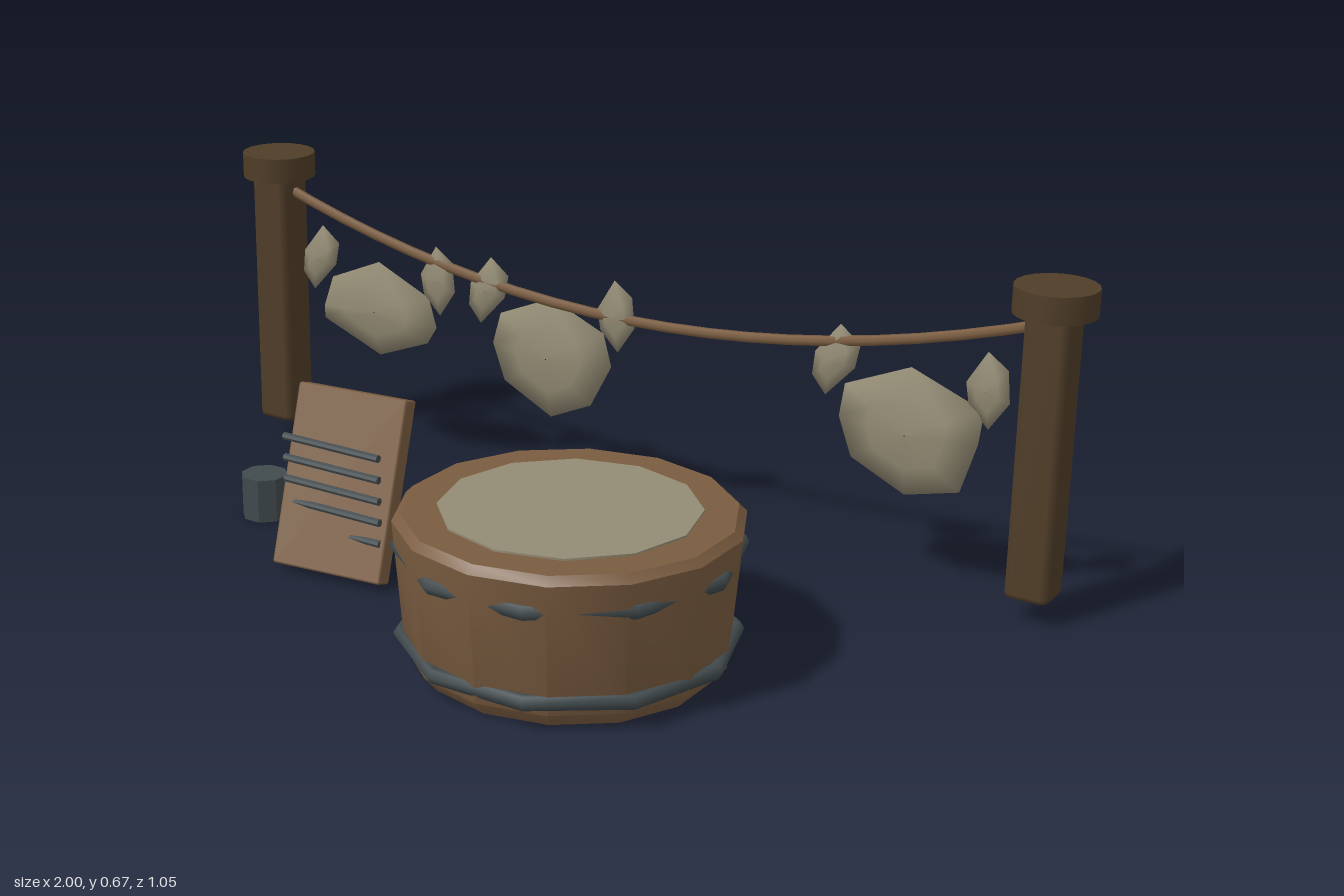
import * as THREE from 'three';
import { toCreasedNormals } from 'three/addons/utils/BufferGeometryUtils.js';
import { RoundedBoxGeometry } from 'three/addons/geometries/RoundedBoxGeometry.js';

const mat = (name, color) => new THREE.MeshStandardMaterial({ name, color });

export function createModel() {
  const wood = mat('wood', 0x7a5c40);
  const darkWood = mat('dark wood', 0x4f3d28);
  const cloth = mat('cloth', 0x938b74);
  const iron = mat('iron', 0x414a4d);

  const model = new THREE.Group();
  model.name = 'laundryYard';

  const add = (name, geometry, material, x = 0, y = 0, z = 0, parent = model) => {
    const mesh = new THREE.Mesh(geometry, material);
    mesh.name = name;
    mesh.position.set(x, y, z);
    parent.add(mesh);
    return mesh;
  };
  const crease = (g, angle = 0.6) => toCreasedNormals(g, angle);
  const lineZ = -0.45;

  // Posts with round caps
  for (const side of [-1, 1]) {
    const name = side < 0 ? 'right' : 'left';
    add(name + 'Post', new RoundedBoxGeometry(0.09, 0.59, 0.09, 1, 0.014), darkWood, side * 0.92, 0.342, lineZ);
    add(name + 'PostCap', crease(new THREE.CylinderGeometry(0.08, 0.08, 0.054, 20)), darkWood, side * 0.92, 0.645, lineZ);
  }

  // Sagging clothesline
  const sag = new THREE.QuadraticBezierCurve3(
    new THREE.Vector3(-0.92, 0.6, lineZ),
    new THREE.Vector3(0, 0.28, lineZ),
    new THREE.Vector3(0.92, 0.6, lineZ)
  );
  add('clothesline', new THREE.TubeGeometry(sag, 20, 0.011, 6), wood);

  // Thin lens from a clockwise outline, thickest in the middle
  const lens = (outline, depth) => {
    const n = outline.length;
    const cx = outline.reduce((s, p) => s + p[0], 0) / n;
    const cy = outline.reduce((s, p) => s + p[1], 0) / n;
    const pos = [];
    const index = [];
    const ring = (scale, z) => outline.forEach(([x, y]) =>
      pos.push(cx + (x - cx) * scale, cy + (y - cy) * scale, z));
    ring(0.01, depth);
    ring(0.55, depth * 0.8);
    ring(1, 0);
    ring(0.55, -depth * 0.8);
    ring(0.01, -depth);
    for (let r = 0; r < 4; r++) {
      for (let i = 0; i < n; i++) {
        const j = (i + 1) % n;
        const a = r * n + i, b = r * n + j, c = a + n, d = b + n;
        index.push(a, b, d, a, d, c);
      }
    }
    const g = new THREE.BufferGeometry();
    g.setAttribute('position', new THREE.Float32BufferAttribute(pos, 3));
    g.setIndex(index);
    g.computeVertexNormals();
    return g;
  };

  // Hanging cloths, each with two pinned corners
  const cloths = [
    { x: -0.645, body: [[0, 0.46], [0.135, 0.40], [0.155, 0.335], [0.13, 0.295], [0, 0.245], [-0.155, 0.305], [-0.155, 0.335], [-0.13, 0.405]] },
    { x: -0.19, body: [[0, 0.455], [0.13, 0.40], [0.15, 0.33], [0.1, 0.235], [0, 0.19], [-0.12, 0.25], [-0.15, 0.33], [-0.13, 0.40]] },
    { x: 0.64, body: [[0, 0.46], [0.155, 0.40], [0.147, 0.33], [0.115, 0.225], [0, 0.195], [-0.12, 0.25], [-0.15, 0.33], [-0.14, 0.40]] },
  ];
  const corners = [
    [-0.16, [[0.005, 0.08], [0.05, 0.045], [0.04, -0.005], [-0.022, -0.072], [-0.053, -0.035], [-0.048, 0.015]]],
    [0.16, [[-0.005, 0.08], [0.038, 0.05], [0.045, -0.015], [0.005, -0.075], [-0.038, -0.033], [-0.046, 0.012]]],
  ];
  cloths.forEach(({ x, body }, i) => {
    const group = new THREE.Group();
    group.name = 'hangingCloth' + (i + 1);
    group.position.set(x, 0, lineZ);
    model.add(group);
    // outlines run clockwise, so reverse them to face outward
    add('clothBody', lens(body.slice().reverse(), 0.019), cloth, 0, 0, 0, group).geometry.index.array.reverse();
    for (const [dx, outline] of corners) {
      add('clothCorner', lens(outline.slice().reverse(), 0.012), cloth, dx, 0.44, 0, group).geometry.index.array.reverse();
    }
    // restore winding and normals after the double flip
    group.children.forEach((m) => {
      m.geometry.index.array.reverse();
      m.geometry.computeVertexNormals();
      const p = m.geometry.index.array;
      const v = [0, 1, 2].map((k) => new THREE.Vector3().fromBufferAttribute(m.geometry.attributes.position, p[k]));
      const facing = v[1].clone().sub(v[0]).cross(v[2].clone().sub(v[0])).z;
      if (facing < 0) {
        p.reverse();
        m.geometry.computeVertexNormals();
      }
    });
  });

  // Wash tub with its filling and iron hoops
  const tub = new THREE.Group();
  tub.name = 'washTub';
  tub.position.set(0.275, 0, 0.197);
  model.add(tub);
  const profile = [[0, 0], [0.28, 0], [0.305, 0.03], [0.327, 0.285], [0.312, 0.3], [0, 0.3]]
    .map(([r, y]) => new THREE.Vector2(r, y));
  add('tubBody', crease(new THREE.LatheGeometry(profile, 14)), wood, 0, 0, 0, tub);
  add('tubFilling', crease(new THREE.CylinderGeometry(0.245, 0.245, 0.008, 12)), cloth, 0, 0.3, 0, tub);
  for (const [name, y, radius] of [['lowerHoop', 0.055, 0.312], ['upperHoop', 0.23, 0.316]]) {
    add(name, new THREE.TorusGeometry(radius, 0.015, 6, 10), iron, 0, y, 0, tub).rotation.x = Math.PI / 2;
  }

  // Leaning washboard
  const board = add('washboard', new RoundedBoxGeometry(0.25, 0.37, 0.042, 1, 0.005), wood, -0.325, 0.187, 0.1);
  board.rotation.set(-0.33, 0.11, 0, 'YXZ');

  // Rubbing bars across the washboard
  for (let i = 0; i < 5; i++) {
    const bar = add('washboardBar', crease(new THREE.CylinderGeometry(0.008, 0.008, 0.235, 8), 0.9), iron, -0.323, 0.275 - i * 0.045, 0.141);
    bar.rotation.z = Math.PI / 2;
  }

  // Small iron weight on the ground
  const weight = add('ironWeight', crease(new THREE.CylinderGeometry(0.05, 0.05, 0.094, 8)), iron, -0.645, 0.047, -0.035);
  weight.rotation.y = Math.PI / 8;

  return model;
}
